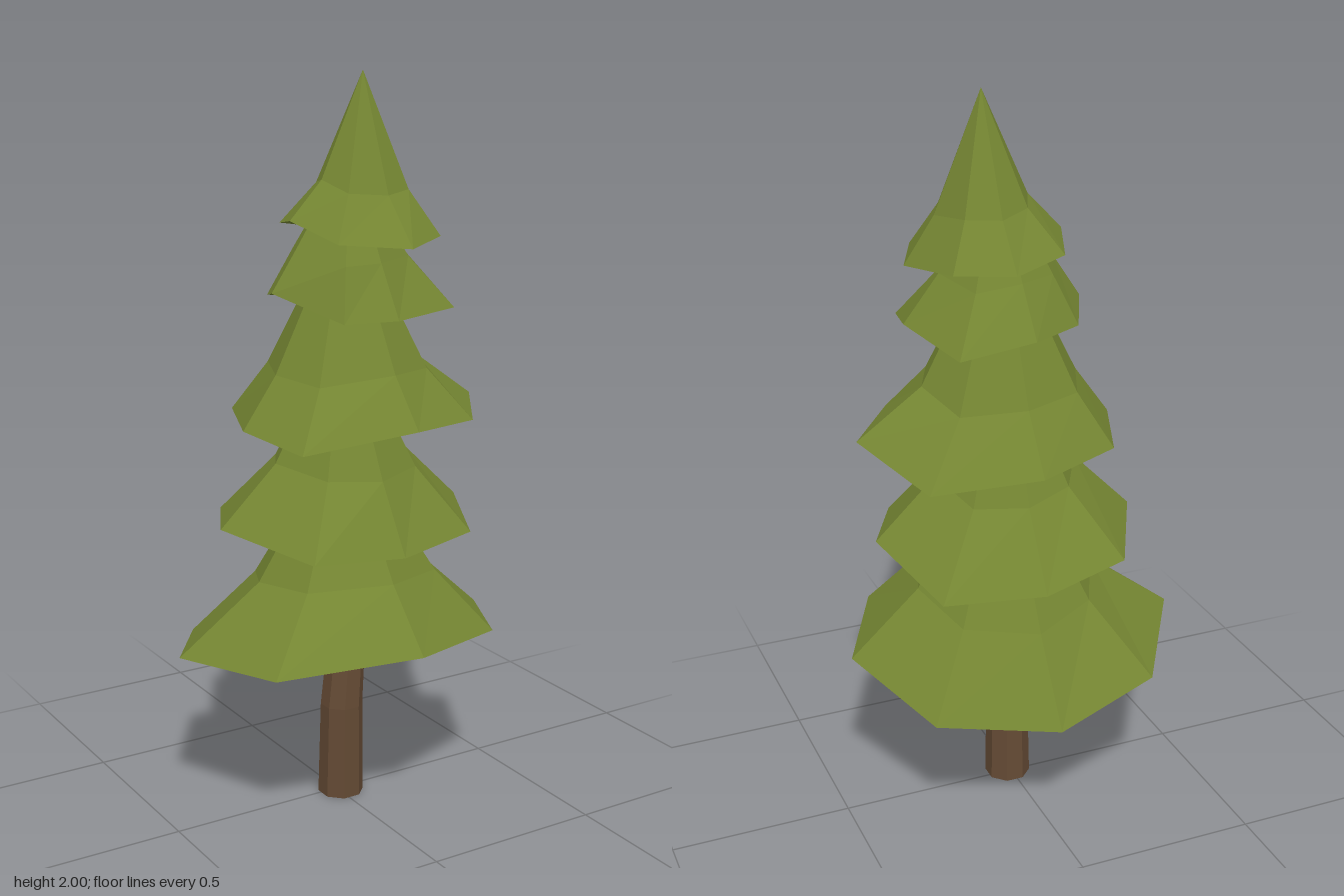
import * as THREE from 'three';

const leafMat = new THREE.MeshStandardMaterial({ color: 0x748532, flatShading: true });
const barkMat = new THREE.MeshStandardMaterial({ color: 0x644a34, flatShading: true });

// Faceted solid from stacked rings; each ring is a list of [x, y, z] running from +x towards +z
function ringSolid(rings, bottom, top) {
  const pos = [];
  const tri = (a, b, c) => pos.push(...a, ...b, ...c);
  const n = rings[0].length;
  for (let i = 0; i < n; i++) {
    const j = (i + 1) % n;
    tri(bottom, rings[0][i], rings[0][j]);
    for (let k = 0; k + 1 < rings.length; k++) {
      const lo = rings[k], hi = rings[k + 1];
      tri(lo[i], hi[i], lo[j]);
      tri(lo[j], hi[i], hi[j]);
    }
    const last = rings[rings.length - 1];
    tri(last[i], top, last[j]);
  }
  const g = new THREE.BufferGeometry();
  g.setAttribute('position', new THREE.Float32BufferAttribute(pos, 3));
  g.computeVertexNormals();
  return g;
}

// Rim corners per tier: right, front right, front, front left, left, back left, back, back right
const tiers = [
  { name: 'bottomBranches', apex: [0.02, 1.06, 0], mid: 0.255, midY: 0.645,
    rim: [[0.47, 0.48, 0], [0.33, 0.505, 0.28], [0.02, 0.53, 0.4], [-0.35, 0.5, 0.28],
      [-0.47, 0.485, -0.03], [-0.28, 0.43, -0.33], [0.02, 0.37, -0.4], [0.33, 0.39, -0.28]] },
  { name: 'lowerBranches', apex: [0.02, 1.36, 0], mid: 0.2, midY: 0.96,
    rim: [[0.39, 0.82, 0], [0.27, 0.79, 0.25], [0.02, 0.775, 0.31], [-0.23, 0.785, 0.27],
      [-0.34, 0.82, -0.03], [-0.2, 0.79, -0.3], [0.04, 0.75, -0.34], [0.3, 0.74, -0.27]] },
  { name: 'middleBranches', apex: [0.03, 1.66, 0], mid: 0.22, midY: 1.225,
    rim: [[0.43, 1.11, 0.01], [0.27, 1.1, 0.25], [0.05, 1.11, 0.32], [-0.24, 1.065, 0.23],
      [-0.29, 1.09, 0.01], [-0.19, 1.09, -0.24], [0.05, 1.08, -0.34], [0.32, 1.04, -0.24]] },
  { name: 'upperBranches', apex: [0.04, 1.8, 0], mid: 0.155, midY: 1.53,
    rim: [[0.29, 1.41, 0.02], [0.26, 1.39, 0.17], [0.04, 1.385, 0.24], [-0.08, 1.375, 0.17],
      [-0.19, 1.44, -0.01], [-0.12, 1.41, -0.16], [0.03, 1.41, -0.24], [0.22, 1.37, -0.2]] },
  { name: 'treeTop', apex: [0.08, 2, 0], mid: 0.125, midY: 1.7,
    rim: [[0.285, 1.565, 0.02], [0.22, 1.58, 0.16], [0.08, 1.565, 0.24], [-0.08, 1.575, 0.14],
      [-0.14, 1.625, 0], [-0.08, 1.6, -0.16], [0.07, 1.575, -0.21], [0.22, 1.58, -0.16]] },
];

function branchTier({ name, apex, mid, midY, rim }) {
  const meanY = rim.reduce((s, p) => s + p[1], 0) / rim.length;
  // rounder inner ring that follows part of the rim's tilt, giving the flared skirt
  const inner = rim.map(([x, y, z]) => {
    const dx = x - apex[0], dz = z - apex[2], s = mid / Math.hypot(dx, dz);
    return [apex[0] + dx * s, midY + 0.6 * (y - meanY), apex[2] + dz * s];
  });
  const mesh = new THREE.Mesh(ringSolid([rim, inner], [apex[0], meanY, 0], apex), leafMat);
  mesh.name = name;
  return mesh;
}

// Slightly bent eight-sided trunk: [x, y, z, radius] per section
function trunk() {
  const sections = [[0.008, 0, 0.01, 0.064], [0.006, 0.27, 0.018, 0.059], [0.024, 0.46, 0.015, 0.053], [0.03, 0.6, 0.012, 0.05]];
  const rings = sections.map(([x, y, z, r]) => Array.from({ length: 8 }, (_, i) => {
    const a = (i + 0.5) * Math.PI / 4;
    return [x + r * Math.cos(a), y, z + r * Math.sin(a)];
  }));
  const mesh = new THREE.Mesh(ringSolid(rings, sections[0].slice(0, 3), sections[3].slice(0, 3)), barkMat);
  mesh.name = 'trunk';
  return mesh;
}

export function createModel() {
  const tree = new THREE.Group();
  tree.name = 'pineTree';
  tree.add(trunk(), ...tiers.map(branchTier));
  return tree;
}
